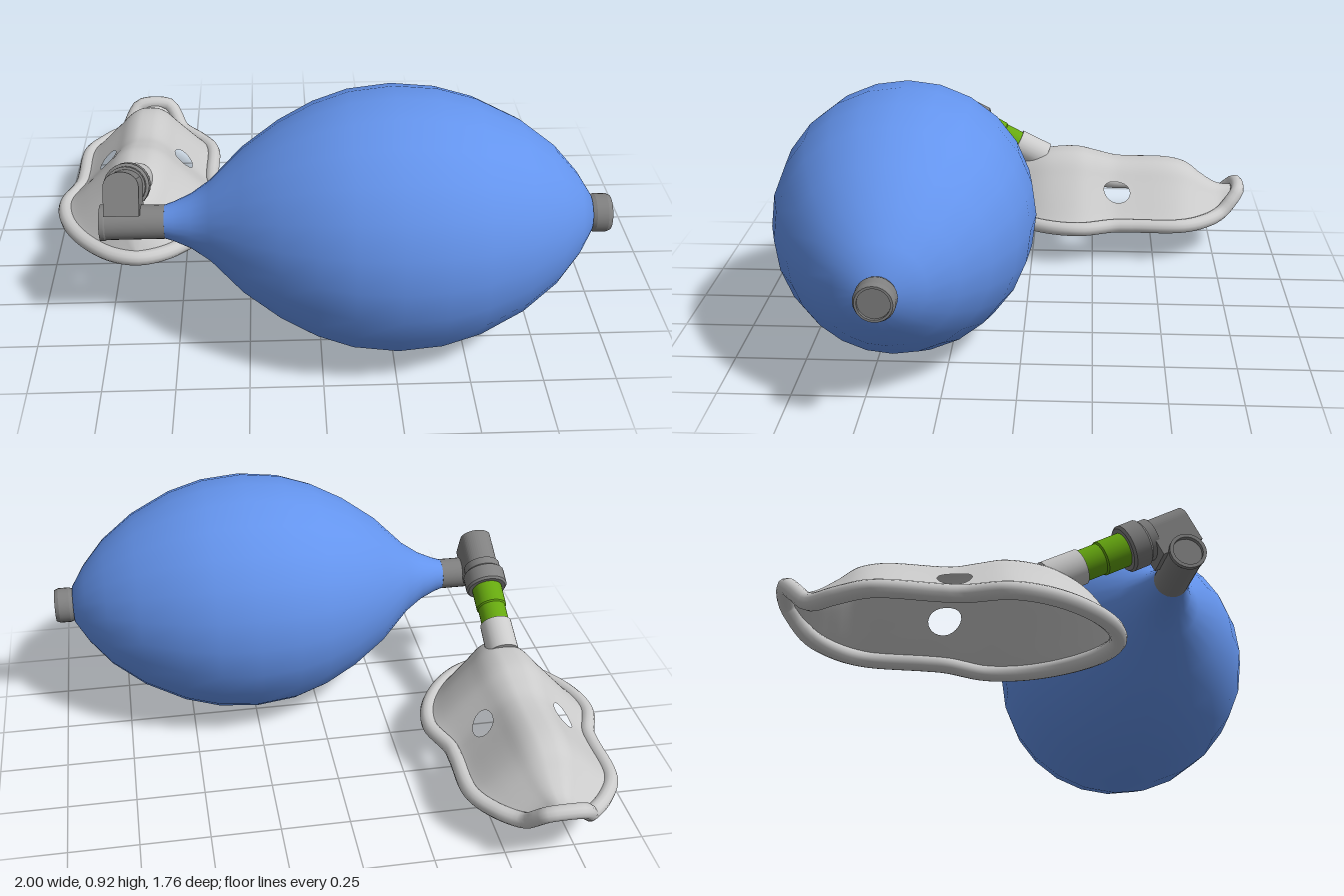
import * as THREE from 'three';

const V2 = (p) => new THREE.Vector2(p[0], p[1]);
const material = (color) => new THREE.MeshStandardMaterial({ color });
const grey = material(0xcccccc);
const darkGrey = material(0x808080);
const blue = material(0x6494ed);
const green = material(0x66a80f);

function part(name, geometry, mat, parent) {
  const mesh = new THREE.Mesh(geometry, mat);
  mesh.name = name;
  parent.add(mesh);
  return mesh;
}

// Smooth interpolation through [key, value] pairs with rising keys
function smooth(table, k) {
  let i = 0;
  while (i < table.length - 2 && k > table[i + 1][0]) i++;
  const slope = (j) => {
    const a = table[Math.max(j - 1, 0)], b = table[Math.min(j + 1, table.length - 1)];
    return (b[1] - a[1]) / (b[0] - a[0]);
  };
  const [x0, y0] = table[i], [x1, y1] = table[i + 1];
  const h = x1 - x0, t = THREE.MathUtils.clamp((k - x0) / h, 0, 1), s = 1 - t;
  return y0 * (1 + 2 * t) * s * s + slope(i) * h * t * s * s
    + y1 * t * t * (3 - 2 * t) - slope(i + 1) * h * t * t * s;
}

// Lathe with hard edges: every run of points is its own smooth band
function turned(name, runs, mat, parent) {
  const group = new THREE.Group();
  group.name = name;
  for (const run of runs) part(name + 'Surface', new THREE.LatheGeometry(run.map(V2), 24), mat, group);
  parent.add(group);
  return group;
}
const edges = (points) => points.slice(1).map((p, i) => [points[i], p]);

// Face mask: half width, rim height and ridge height along z
const Z0 = -0.85, Z1 = 0.19;
const WIDTH = [[-0.85, 0.06], [-0.83, 0.085], [-0.78, 0.118], [-0.7, 0.195], [-0.6, 0.253], [-0.4, 0.258],
  [-0.33, 0.262], [-0.2, 0.305], [-0.1, 0.295], [0, 0.252], [0.1, 0.175], [0.165, 0.09], [0.19, 0]];
const RIM = [[-0.85, 0.24], [-0.83, 0.215], [-0.79, 0.17], [-0.74, 0.155], [-0.6, 0.155], [0.19, 0.155]];
const RIDGE = [[-0.85, 0.245], [-0.77, 0.252], [-0.7, 0.292], [-0.64, 0.338], [-0.55, 0.36], [-0.35, 0.364],
  [-0.26, 0.383], [-0.18, 0.4], [-0.07, 0.395], [0, 0.375], [0.08, 0.33], [0.15, 0.25], [0.19, 0.16]];
const SECTION = [[0, 1], [0.15, 0.98], [0.3, 0.87], [0.45, 0.67], [0.65, 0.41], [0.88, 0.12], [1, 0]];

function maskShell() {
  const cols = 48, rows = 60, half = 3, holeCol = 14, holeRow = 29;
  const positions = [], index = [];
  const gridX = (i, z) => (i / cols * 2 - 1) * smooth(WIDTH, z);
  const gridZ = (j) => Z0 + (Z1 - Z0) * j / rows;
  for (let j = 0; j <= rows; j++) {
    for (let i = 0; i <= cols; i++) {
      let z = gridZ(j), x = gridX(i, z);
      let u = Math.abs(i / cols * 2 - 1);
      // Pull the grid around each side hole onto an ellipse
      const side = i < cols / 2 ? -1 : 1;
      const di = i - cols / 2 - side * holeCol, dj = j - holeRow;
      const ring = Math.max(Math.abs(di), Math.abs(dj));
      if (ring <= half + 1) {
        const cz = gridZ(holeRow), cx = gridX(cols / 2 + side * holeCol, cz);
        const a = Math.atan2(dj, di), k = ring > half ? 0.5 : 1, grow = ring > half ? 1.3 : 1;
        x += (cx + Math.cos(a) * 0.033 * grow - x) * k;
        z += (cz + Math.sin(a) * 0.054 * grow - z) * k;
        u = Math.abs(x) / smooth(WIDTH, z);
      }
      const rim = smooth(RIM, z);
      positions.push(x, rim + (smooth(RIDGE, z) - rim) * smooth(SECTION, u), z);
      if (i === cols || j === rows) continue;
      const ci = Math.abs(Math.abs(i + 0.5 - cols / 2) - holeCol), cj = Math.abs(j + 0.5 - holeRow);
      if (ci < half && cj < half) continue;
      const p = j * (cols + 1) + i, q = p + cols + 1;
      index.push(p, q, p + 1, p + 1, q, q + 1);
    }
  }
  const geometry = new THREE.BufferGeometry();
  geometry.setAttribute('position', new THREE.Float32BufferAttribute(positions, 3));
  geometry.setIndex(index);
  geometry.computeVertexNormals();
  return geometry;
}

function maskRim() {
  const right = WIDTH.map(([z, w]) => new THREE.Vector3(w, smooth(RIM, z), z));
  const left = right.slice(0, -1).reverse().map((p) => new THREE.Vector3(-p.x, p.y, p.z));
  const path = new THREE.CatmullRomCurve3([...right, ...left], true, 'centripetal');
  return new THREE.TubeGeometry(path, 120, 0.028, 12, true);
}

export function createModel() {
  const model = new THREE.Group();
  model.name = 'resuscitator';

  // Squeeze bag with its end cap and the horizontal valve tube, all on one axis
  const axis = new THREE.Group();
  axis.name = 'bagAssembly';
  axis.rotation.z = -Math.PI / 2;
  axis.position.set(0, 0.46, 0.415);
  model.add(axis);
  const bag = [[0.055, -0.54], [0.068, -0.5], [0.095, -0.44], [0.14, -0.375], [0.25, -0.265], [0.34, -0.14],
    [0.403, -0.02], [0.443, 0.1], [0.46, 0.25], [0.447, 0.4], [0.41, 0.53], [0.335, 0.68], [0.243, 0.8],
    [0.15, 0.88], [0.07, 0.93], [0, 0.935]];
  turned('squeezeBag', [bag], blue, axis);
  turned('endCap', edges([[0, 0.92], [0.06, 0.925], [0.067, 0.945], [0.067, 0.985], [0.06, 1], [0.052, 1],
    [0.052, 0.99], [0, 0.99]]), darkGrey, axis);
  turned('valveTube', edges([[0, -0.735], [0.05, -0.735], [0.05, -0.75], [0.062, -0.75], [0.062, -0.735],
    [0.059, -0.73], [0.059, -0.53], [0, -0.53]]), darkGrey, axis);

  // Sloping connector running from the valve down to the mask
  const slope = THREE.MathUtils.degToRad(27.5);
  const connector = new THREE.Group();
  connector.name = 'connector';
  connector.rotation.x = Math.PI / 2 - slope;
  connector.position.set(-0.67, 0.6, 0.43);
  model.add(connector);

  const arch = new THREE.Shape();
  arch.moveTo(-0.06, -0.09);
  arch.lineTo(0.06, -0.09);
  arch.lineTo(0.06, 0.01);
  arch.absellipse(0, 0.01, 0.06, 0.05, 0, Math.PI, false);
  arch.closePath();
  const housing = new THREE.ExtrudeGeometry(arch, { depth: 0.15, bevelEnabled: false, curveSegments: 12 });
  housing.rotateX(-Math.PI / 2);
  housing.translate(0, -0.15, 0);
  part('valveHousing', housing, darkGrey, connector);

  turned('collar', edges([[0, -0.24], [0.073, -0.24], [0.08, -0.232], [0.08, -0.175], [0.07, -0.165],
    [0.07, -0.135], [0, -0.135]]), darkGrey, connector);
  turned('adapter', edges([[0, -0.41], [0.053, -0.41], [0.053, -0.33], [0.058, -0.325], [0.058, -0.235],
    [0, -0.235]]), green, connector);
  turned('maskNeck', edges([[0, -0.53], [0.062, -0.53], [0.06, -0.402], [0, -0.402]]), grey, connector);

  // Face mask with a rounded cushion rim
  const mask = new THREE.Group();
  mask.name = 'faceMask';
  mask.position.x = -0.665;
  model.add(mask);
  const thin = material(0xcccccc);
  thin.side = THREE.DoubleSide;
  part('maskShell', maskShell(), thin, mask);
  part('maskRim', maskRim(), grey, mask);

  return model;
}
